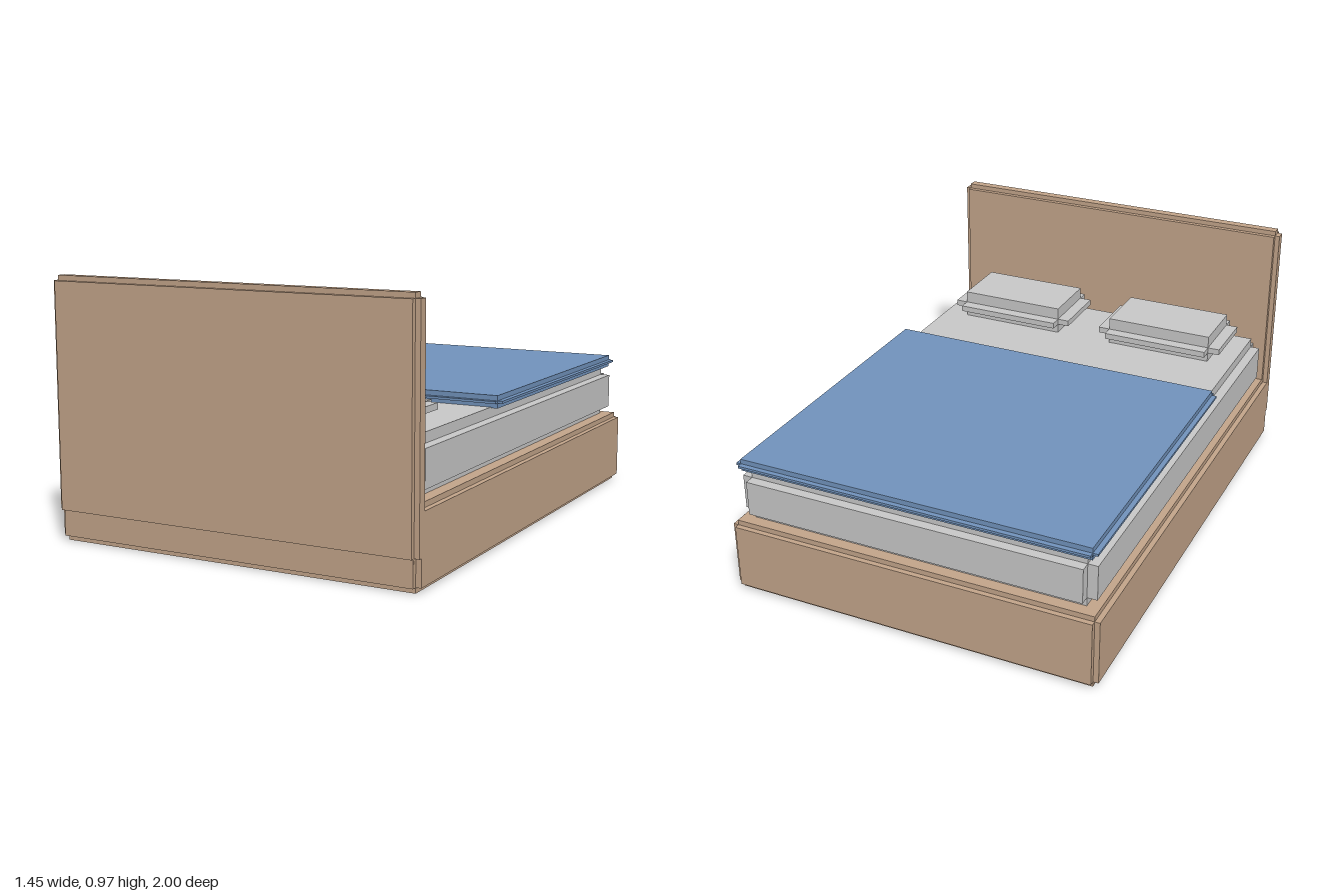
import * as THREE from 'three';

const wood = new THREE.MeshStandardMaterial({ color: 0xc6a78c, flatShading: true });
const linen = new THREE.MeshStandardMaterial({ color: 0xcccccc, flatShading: true });
const blue = new THREE.MeshStandardMaterial({ color: 0x7395bf, flatShading: true });

// A block with stepped edges: three crossing boxes, each full size along one axis
// and inset along the other two.
function steppedBlock(name, min, max, inset, material) {
  const group = new THREE.Group();
  group.name = name;
  const size = max.map((v, i) => v - min[i]);
  ['Width', 'Height', 'Depth'].forEach((label, axis) => {
    const dims = size.map((s, i) => (i === axis ? s : s - 2 * inset));
    const mesh = new THREE.Mesh(new THREE.BoxGeometry(...dims), material);
    mesh.name = name + label;
    group.add(mesh);
  });
  group.position.set(...max.map((v, i) => (v + min[i]) / 2));
  return group;
}

export function createModel() {
  const bed = new THREE.Group();
  bed.name = 'bed';

  // Wooden base and headboard
  bed.add(steppedBlock('frame', [-0.727, 0, -1], [0.727, 0.29, 0.986], 0.02, wood));
  bed.add(steppedBlock('headboard', [-0.727, 0.1, 0.925], [0.727, 0.971, 1], 0.019, wood));

  // Bedding
  bed.add(steppedBlock('mattress', [-0.697, 0.285, -0.972], [0.697, 0.497, 0.918], 0.038, linen));
  bed.add(steppedBlock('blanket', [-0.704, 0.494, -0.976], [0.704, 0.541, 0.283], 0.019, blue));

  // Pair of pillows
  for (const [side, x] of [['left', 0.338], ['right', -0.338]]) {
    bed.add(steppedBlock(side + 'Pillow', [x - 0.267, 0.487, 0.544], [x + 0.267, 0.607, 0.888], 0.048, linen));
  }
  return bed;
}
